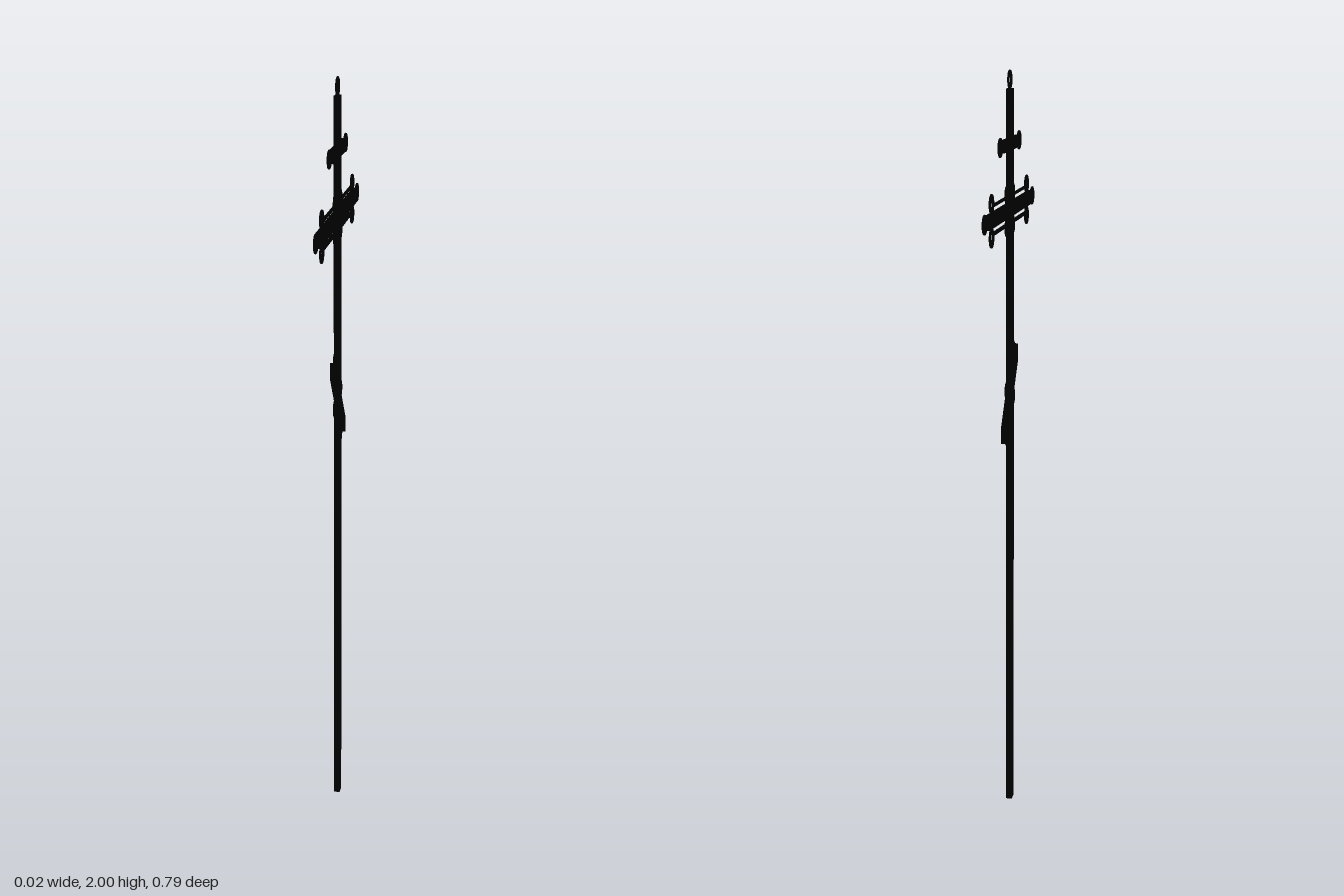
import * as THREE from 'three';

export function createModel() {
  const model = new THREE.Group();
  const iron = new THREE.MeshStandardMaterial({ color: 0x000000 });
  const DEPTH = 0.016;
  const RING = 0.0222;

  function add(name, geometry, x, y, z) {
    const mesh = new THREE.Mesh(geometry, iron);
    mesh.name = name;
    mesh.position.set(x, y, z);
    model.add(mesh);
    return mesh;
  }

  // Flat bar, centred on the post
  const bar = (name, y, height, length) =>
    add(name, new THREE.BoxGeometry(DEPTH, height, length), 0, y, 0);

  // Thin ring lying in the plane of the cross
  const ringGeometry = new THREE.TorusGeometry(RING, 0.0033, 8, 32).rotateY(Math.PI / 2);
  const ring = (y, z) => add('ring', ringGeometry, 0, y, z);

  // Thin rod between two (z, y) points, plain or with a row of small beads
  function rod(name, z0, y0, z1, y1, beaded) {
    const a = new THREE.Vector3(0, y0, z0);
    const b = new THREE.Vector3(0, y1, z1);
    const length = a.distanceTo(b);
    let geometry;
    if (beaded) {
      const count = Math.round(length / 0.013);
      const profile = [];
      for (let i = 0; i <= count * 4; i++) {
        const radius = 0.0025 + 0.003 * Math.abs(Math.sin((i * Math.PI) / 4));
        profile.push(new THREE.Vector2(radius, (i / (count * 4) - 0.5) * length));
      }
      geometry = new THREE.LatheGeometry(profile, 8);
    } else {
      geometry = new THREE.CylinderGeometry(0.0045, 0.0045, length, 8);
    }
    const mid = a.clone().add(b).multiplyScalar(0.5);
    const mesh = add(name, geometry, mid.x, mid.y, mid.z);
    mesh.quaternion.setFromUnitVectors(new THREE.Vector3(0, 1, 0), b.sub(a).normalize());
  }

  // Post and two level crossbars
  add('post', new THREE.BoxGeometry(DEPTH, 1.952, 0.032), 0, 0.976, 0);
  bar('upperCrossbar', 1.81, 0.03, 0.25);
  bar('mainCrossbar', 1.64, 0.034, 0.692);

  // Slanted footrest: a box sheared so that its ends stay upright
  const footrest = new THREE.BoxGeometry(DEPTH, 0.043, 0.18);
  const p = footrest.attributes.position;
  for (let i = 0; i < p.count; i++) p.setY(i, p.getY(i) + p.getZ(i) * 1.09);
  footrest.computeVertexNormals();
  add('slantedFootrest', footrest, 0, 1.15, -0.003);

  // Rings capping the post and the crossbars
  ring(1.9745, 0);
  for (const side of [-1, 1]) {
    ring(1.81, side * 0.146);
    ring(1.64, side * 0.3695);

    // Rings and rods above and below the main crossbar
    for (const y of [1.681, 1.596]) {
      ring(y, side * 0.273);
      ring(y, side * 0.043);
    }
    rod('upperRod', side * 0.066, 1.675, side * 0.25, 1.675, false);
    rod('lowerRod', side * 0.066, 1.604, side * 0.25, 1.604, true);
  }

  // Rings around the footrest
  for (const y of [1.262, 1.133]) ring(y, 0.043);
  for (const y of [1.165, 1.04]) ring(y, -0.043);

  // Rods running down beside the post
  rod('sideRod', 0.027, 1.58, 0.027, 1.28, false);
  rod('sideRod', -0.028, 1.58, -0.028, 1.185, true);
  rod('taperRod', 0.03, 1.115, 0.019, 0.934, true);
  rod('taperRod', -0.033, 1.021, -0.021, 0.934, true);

  return model;
}
